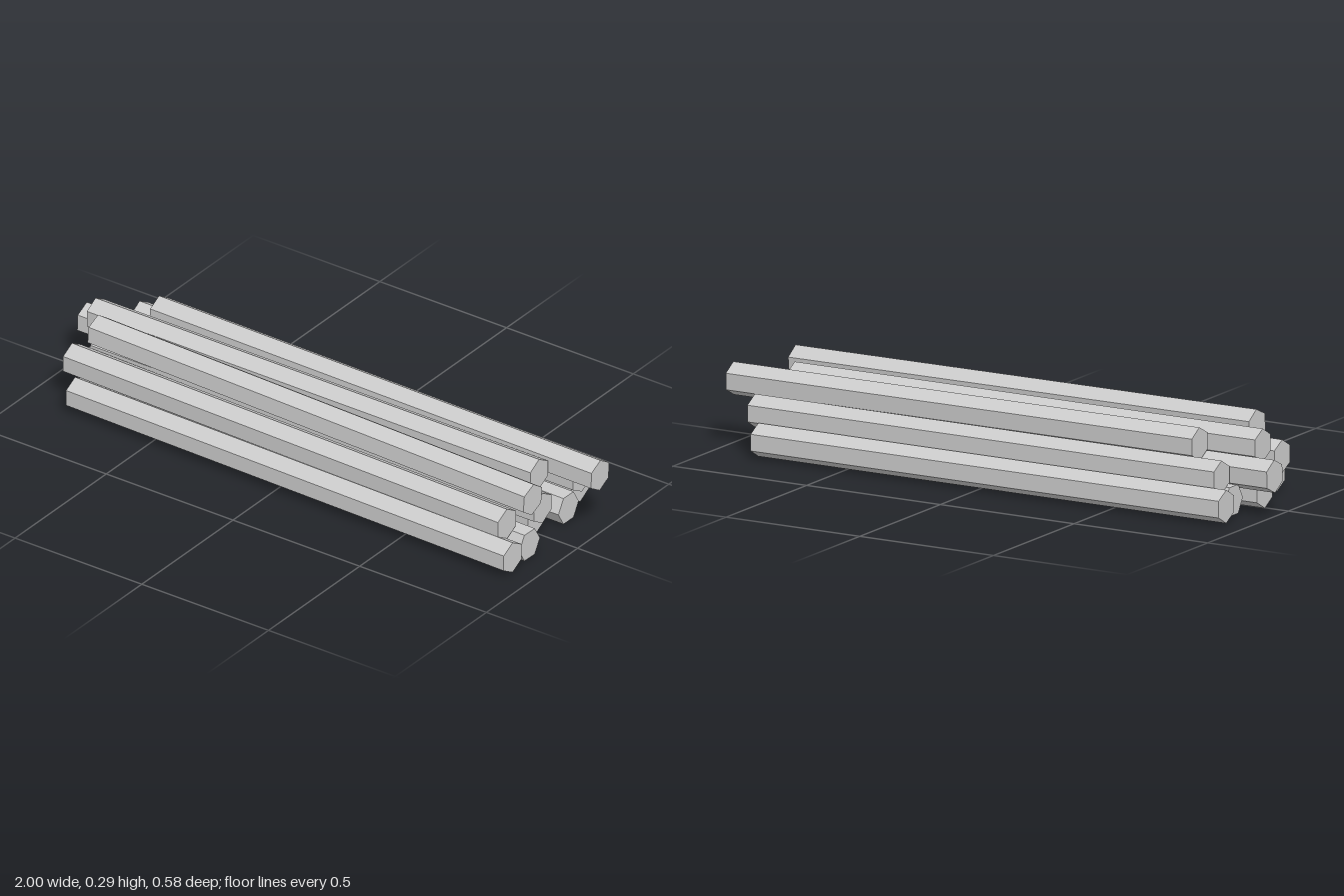
import * as THREE from 'three';

const RADIUS = 0.055;
const POINT_UP = 30, FLAT_UP = 0; // spin of the hexagon in degrees

// Each log: name, right end [x, y, z], left end [x, y, z], spin
const LOGS = [
  // bottom row
  ['bottomLog1', [0.92, 0.055, 0.245], [-0.83, 0.055, 0.213], POINT_UP],
  ['bottomLog2', [0.91, 0.048, 0.138], [-0.84, 0.048, 0.099], FLAT_UP],
  ['bottomLog3', [0.835, 0.055, -0.005], [-0.915, 0.055, -0.005], POINT_UP],
  ['bottomLog4', [0.875, 0.048, -0.124], [-0.878, 0.048, -0.136], FLAT_UP],
  ['bottomLog5', [0.835, 0.055, -0.244], [-0.915, 0.055, -0.244], POINT_UP],
  // middle row
  ['middleLog1', [0.86, 0.134, 0.193], [-0.885, 0.134, 0.153], POINT_UP],
  ['middleLog2', [0.9, 0.14, 0.053], [-0.85, 0.14, 0.053], POINT_UP],
  ['middleLog3', [0.75, 0.132, -0.074], [-1, 0.132, -0.085], POINT_UP - 3],
  ['middleLog4', [0.88, 0.134, -0.19], [-0.865, 0.134, -0.19], POINT_UP],
  // top row
  ['topLog1', [0.925, 0.222, 0.142], [-0.82, 0.237, 0.106], POINT_UP - 5],
  ['topLog2', [0.835, 0.21, -0.018], [-0.915, 0.21, -0.018], POINT_UP],
  ['topLog3', [1, 0.212, -0.123], [-0.75, 0.218, -0.135], POINT_UP - 2],
];

// Six-sided log running between two end centres
function makeLog(name, right, left, spin, material) {
  const a = new THREE.Vector3(...left);
  const b = new THREE.Vector3(...right);
  const dir = b.clone().sub(a);
  const length = dir.length();
  dir.normalize();
  const geometry = new THREE.CylinderGeometry(RADIUS, RADIUS, length, 6);
  geometry.rotateZ(-Math.PI / 2);
  const log = new THREE.Mesh(geometry, material);
  log.name = name;
  log.position.copy(a).add(b).multiplyScalar(0.5);
  log.rotation.set(
    THREE.MathUtils.degToRad(spin), Math.atan2(-dir.z, dir.x), Math.asin(dir.y), 'YZX');
  return log;
}

export function createModel() {
  const model = new THREE.Group();
  model.name = 'logPile';
  const material = new THREE.MeshStandardMaterial({ color: 0xcccccc, flatShading: true });
  for (const [name, right, left, spin] of LOGS) {
    model.add(makeLog(name, right, left, spin, material));
  }
  return model;
}
